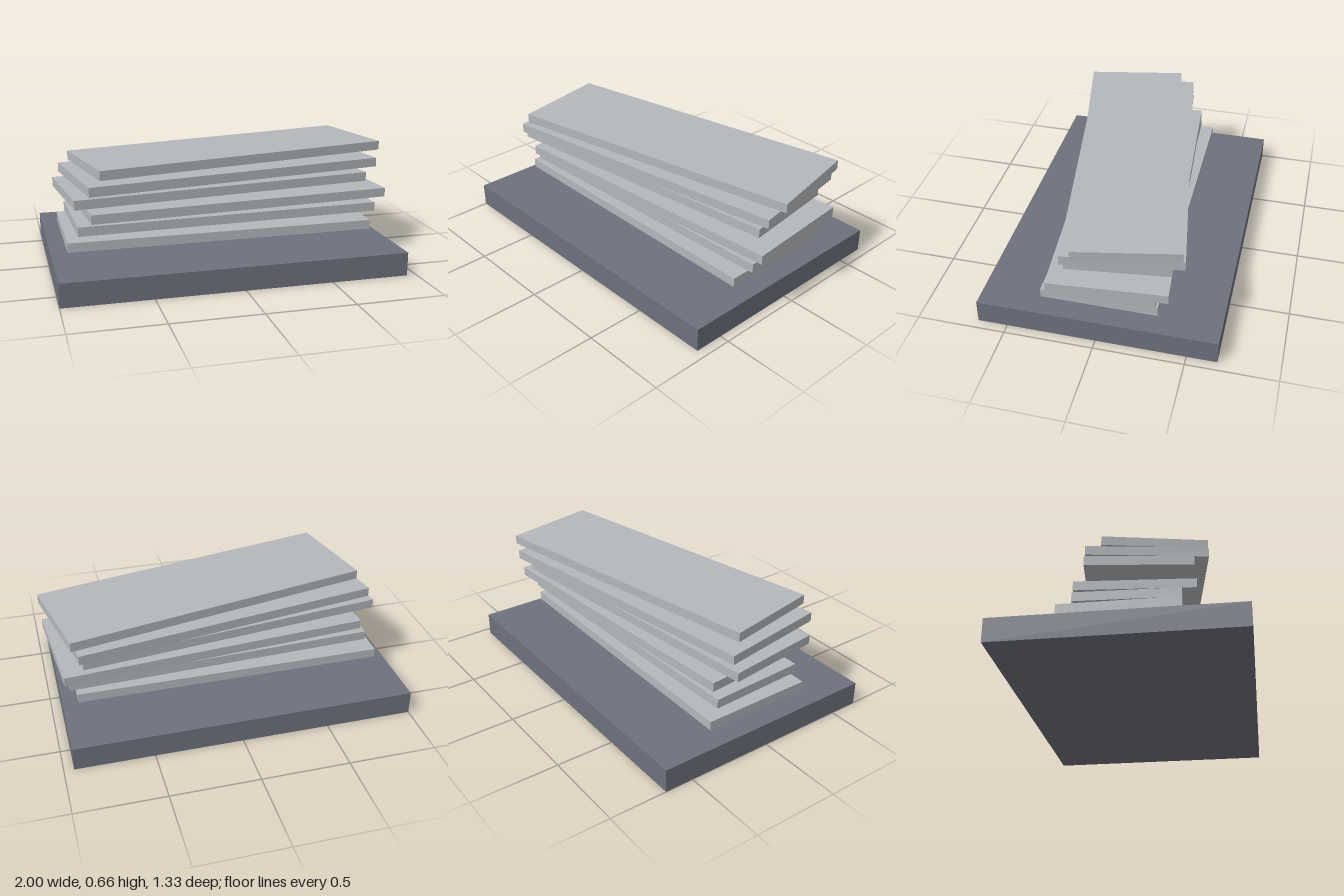
import * as THREE from 'three';

export function createModel() {
  const model = new THREE.Group();
  model.name = 'twistedSlabStack';

  const darkGrey = new THREE.MeshStandardMaterial({ color: 0x6c717d });
  darkGrey.name = 'dark slate grey';
  const lightGrey = new THREE.MeshStandardMaterial({ color: 0xb3b7bb });
  lightGrey.name = 'light grey';

  const addBox = (name, size, position, material, turn = 0) => {
    const mesh = new THREE.Mesh(new THREE.BoxGeometry(...size), material);
    mesh.name = name;
    mesh.position.set(...position);
    mesh.rotation.y = turn;
    model.add(mesh);
  };

  // Base plate
  const centreX = -0.0275;
  addBox('base', [1.945, 0.135, 1.334], [centreX, 0.0675, 0], darkGrey);

  // Floating slabs: each turns a little further, alternates in depth,
  // and shifts sideways in a repeating cycle of three
  for (let i = 0; i < 6; i++) {
    const depth = i % 2 === 0 ? 0.646 : 0.568;
    const x = centreX + 0.049 * (i % 3);
    addBox(`slab${i + 1}`, [1.778, 0.053, depth], [x, 0.207 + 0.085 * i, 0], lightGrey, 0.04 * i);
  }

  return model;
}
